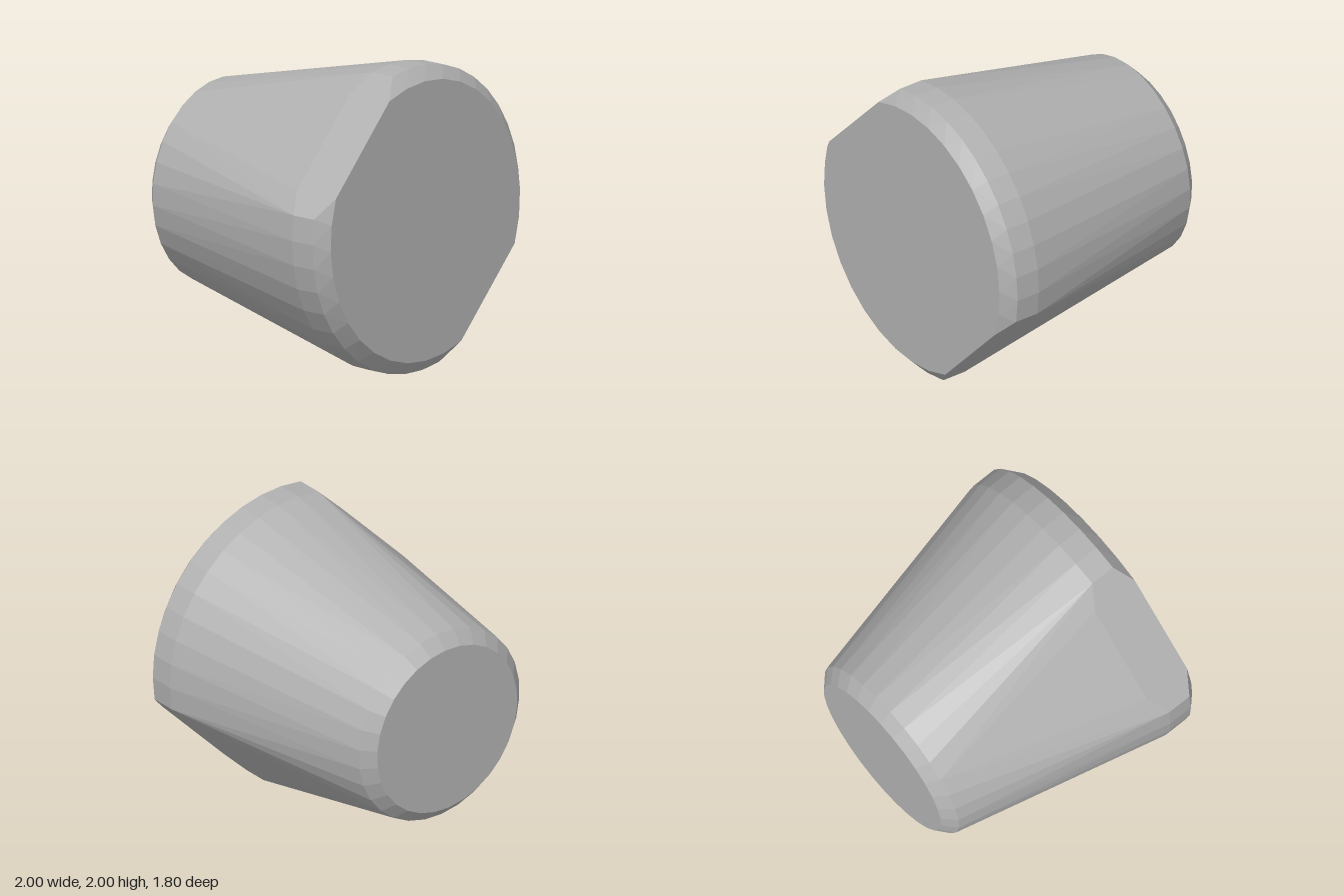
import * as THREE from 'three';
import { ConvexGeometry } from 'three/addons/geometries/ConvexGeometry.js';

const TILT = THREE.MathUtils.degToRad(136.4); // direction the upper flat faces
const FLAT = 0.835; // distance of each flat from the axis

// Point on a circle around the body's axis
const polar = (r, angle, z) => new THREE.Vector3(r * Math.cos(angle), r * Math.sin(angle), z);

// Circle with two opposite sides cut off: two arcs joined by straight chords
function cutRing(r, z, segments = 12) {
  const half = Math.acos(FLAT / r);
  const points = [];
  for (const side of [0, Math.PI]) {
    for (let i = 0; i <= segments; i++) {
      const t = half + (i / segments) * (Math.PI - 2 * half);
      points.push(polar(r, TILT + side + t, z));
    }
  }
  return points;
}

function fullRing(r, z, segments = 30) {
  return Array.from({ length: segments }, (_, i) => polar(r, TILT + (i / segments) * Math.PI * 2, z));
}

export function createModel() {
  const grey = new THREE.MeshStandardMaterial({ color: 0xb0b0b0 });
  grey.name = 'plain grey';

  const points = [
    ...cutRing(0.915, 0.9), // front face
    ...cutRing(1, 0.82), // front bevel
    ...cutRing(1, 0.65), // end of the straight rim
    ...cutRing(0.915, 0.57, 1), // ends of the two flats
    ...fullRing(0.665, -0.82), // narrow end of the taper
    ...fullRing(0.58, -0.9), // back face
  ];

  // Tapered knob with flats blending into the round back
  const body = new THREE.Mesh(new ConvexGeometry(points), grey);
  body.name = 'taperedBody';
  body.position.y = 1;

  const model = new THREE.Group();
  model.name = 'taperedKnob';
  model.add(body);
  return model;
}
